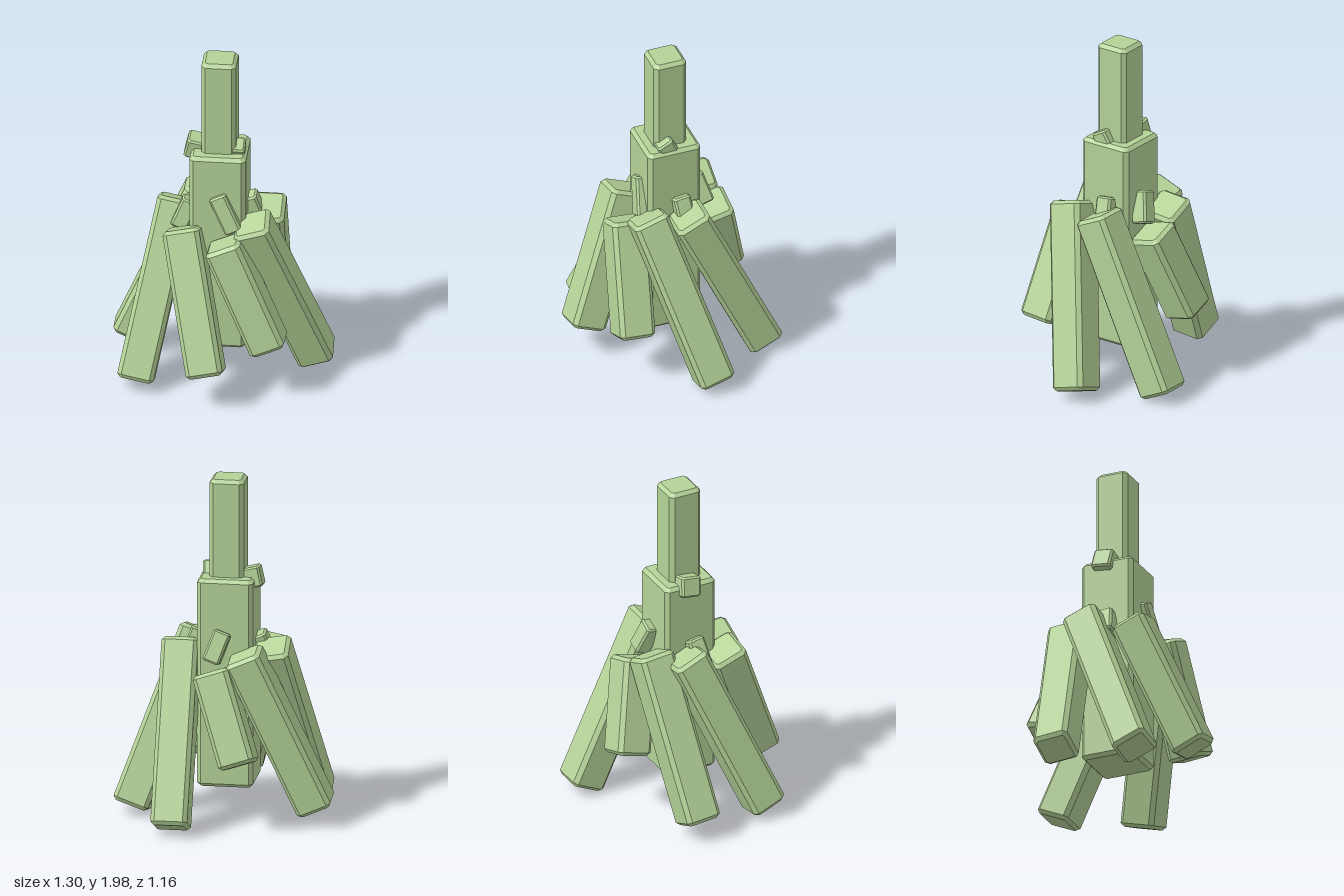
import * as THREE from 'three';

const CHAMFER = 0.02;

// Square bar with every edge chamfered, centred, long axis along y.
function barGeometry(side, length, c) {
  const h = side / 2 - c; // the bevel grows the outline back to full size
  const k = c * 0.6;
  const shape = new THREE.Shape([
    [h, -h + k], [h, h - k], [h - k, h], [-h + k, h],
    [-h, h - k], [-h, -h + k], [-h + k, -h], [h - k, -h],
  ].map(([x, y]) => new THREE.Vector2(x, y)));
  const geo = new THREE.ExtrudeGeometry(shape, {
    depth: length - 2 * c, bevelEnabled: true, bevelThickness: c, bevelSize: c, bevelSegments: 1,
  });
  geo.translate(0, 0, -(length - 2 * c) / 2);
  geo.rotateX(-Math.PI / 2);
  return geo;
}

export function createModel() {
  const model = new THREE.Group();
  const green = new THREE.MeshStandardMaterial({ color: 0xb5d398 });
  green.name = 'sage green';
  const up = new THREE.Vector3(0, 1, 0);
  const quarterTurn = new THREE.Quaternion().setFromAxisAngle(up, Math.PI / 4);

  // Bar between the centres of its top and bottom ends, corners facing the axes.
  function bar(name, side, top, bottom, chamfer = CHAMFER) {
    const a = new THREE.Vector3(...top), b = new THREE.Vector3(...bottom);
    const axis = a.clone().sub(b);
    const mesh = new THREE.Mesh(barGeometry(side, axis.length(), chamfer), green);
    mesh.name = name;
    mesh.position.copy(a).add(b).multiplyScalar(0.5);
    mesh.quaternion.setFromUnitVectors(up, axis.normalize()).multiply(quarterTurn);
    model.add(mesh);
  }

  // Upright core
  bar('trunk', 0.32, [0, 1.43, 0.01], [0, 0.21, 0.01]);
  bar('spire', 0.197, [0, 2, 0.01], [0, 1.2, 0.01]);

  // Large bars leaning outwards around the core
  const branches = [
    ['rightFrontBranch', [0.21, 1.04, 0.17], [0.53, 0.06, -0.155]],
    ['frontBranch', [0.005, 1.045, 0.28], [0.45, 0.065, 0.33]],
    ['shortFrontBranch', [-0.155, 0.945, 0.225], [0, 0.32, 0.455]],
    ['sideBranch', [-0.265, 0.985, -0.005], [-0.365, 0.21, 0.335]],
    ['sideBackBranch', [-0.115, 1.035, -0.235], [-0.54, 0.07, -0.085]],
    ['backBranch', [0.085, 1.02, -0.24], [-0.27, 0.115, -0.465]],
    ['shortBackBranch', [0.22, 0.92, -0.13], [0.19, 0.41, -0.35]],
  ];
  for (const [name, top, bottom] of branches) bar(name, 0.21, top, bottom);

  // Small twigs peeking out between the branches
  const twigs = [
    [[-0.1, 1.19, 0.11], [-0.05, 0.98, 0.2]],
    [[0.13, 1.11, 0.1], [0.19, 0.93, 0.13]],
    [[0.12, 1.13, -0.1], [0.2, 0.96, -0.09]],
    [[-0.12, 1.08, -0.1], [-0.19, 0.92, -0.13]],
  ];
  for (const [top, bottom] of twigs) bar('twig', 0.1, top, bottom, 0.01);

  // Little buds around the foot of the spire
  bar('bud', 0.1, [0.03, 1.48, 0.12], [0.07, 1.36, 0.07], 0.01);
  bar('bud', 0.12, [-0.08, 1.475, -0.08], [-0.09, 1.36, -0.11], 0.01);

  return model;
}
